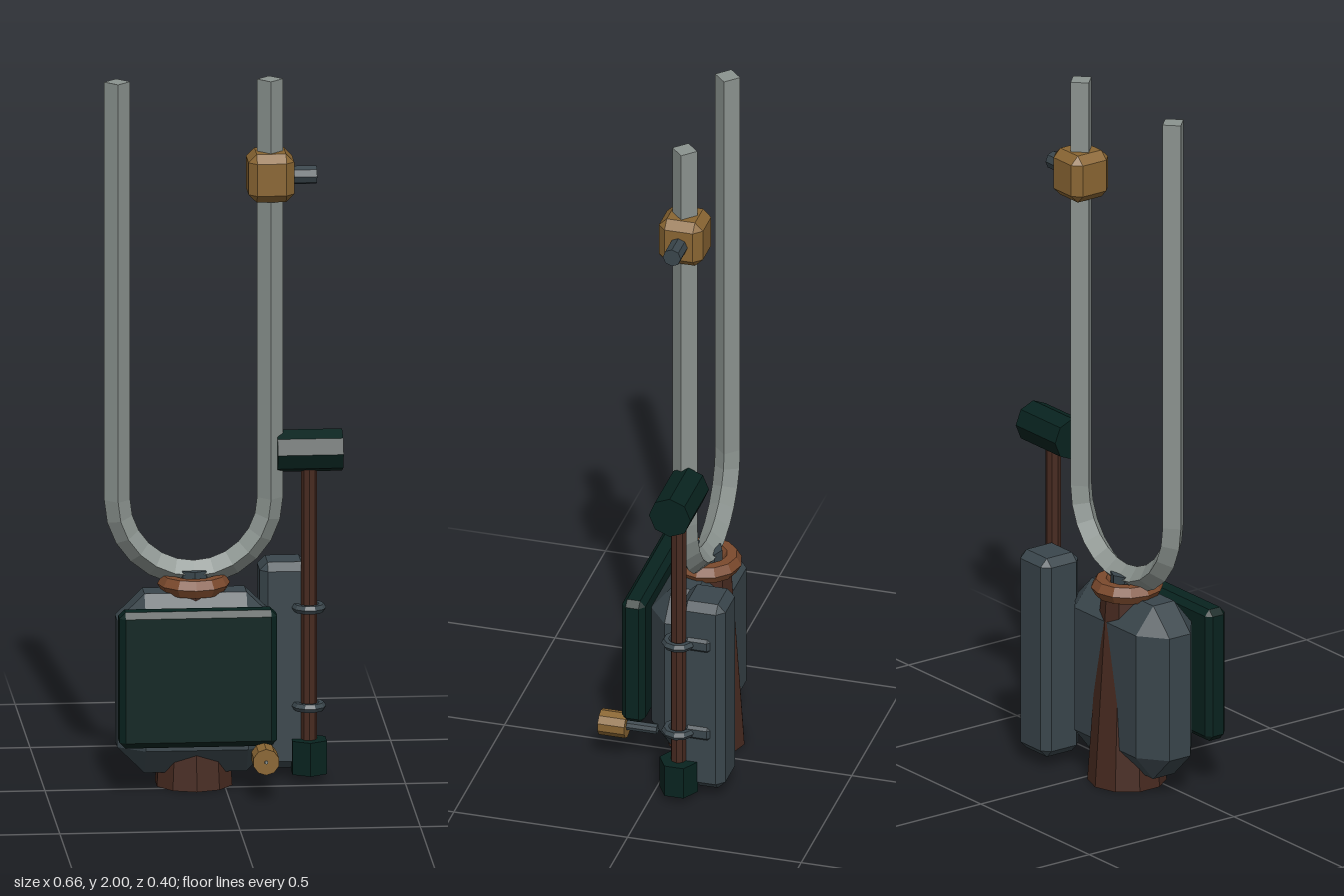
import * as THREE from 'three';
import { ConvexGeometry } from 'three/addons/geometries/ConvexGeometry.js';

const colours = {
  steel: 0x8b938f, slate: 0x3a464c, darkGreen: 0x08231f,
  darkWood: 0x472a20, copper: 0x7c4a2d, brass: 0x8a6633,
};
const mats = {};
for (const [name, color] of Object.entries(colours)) {
  mats[name] = new THREE.MeshStandardMaterial({ color });
  mats[name].name = name;
}

// Faceted look: split the corners so each face has its own normal
function flat(geometry) {
  const g = geometry.index ? geometry.toNonIndexed() : geometry;
  g.computeVertexNormals();
  return g;
}

function part(name, geometry, mat, x, y, z) {
  const mesh = new THREE.Mesh(flat(geometry), mats[mat]);
  mesh.name = name;
  mesh.position.set(x, y, z);
  return mesh;
}

// Box given by its limits, with every edge bevelled by (cx, cy, cz)
function bevelBox(name, mat, [x0, x1], [y0, y1], [z0, z1], [cx, cy, cz]) {
  const h = [(x1 - x0) / 2, (y1 - y0) / 2, (z1 - z0) / 2];
  const c = [cx, cy, cz];
  const points = [];
  for (const sx of [-1, 1]) for (const sy of [-1, 1]) for (const sz of [-1, 1]) {
    const s = [sx, sy, sz];
    for (let full = 0; full < 3; full++) {
      points.push(new THREE.Vector3(...s.map((v, i) => v * (i === full ? h[i] : h[i] - c[i]))));
    }
  }
  return part(name, new ConvexGeometry(points), mat, (x0 + x1) / 2, (y0 + y1) / 2, (z0 + z1) / 2);
}

// Cylinder along the chosen axis, centred on (x, y, z)
function rod(name, mat, rTop, rBottom, length, sides, axis, x, y, z) {
  const g = new THREE.CylinderGeometry(rTop, rBottom, length, sides);
  if (axis === 'x') g.rotateZ(-Math.PI / 2);
  if (axis === 'z') g.rotateX(Math.PI / 2);
  return part(name, g, mat, x, y, z);
}

// U-shaped bar with a diamond cross-section
function forkGeometry(radius, bendY, topY, r, steps) {
  const stations = [{ x: -radius, y: topY, a: Math.PI }];
  for (let i = 0; i <= steps; i++) {
    const a = Math.PI * (1 + i / steps);
    stations.push({ x: Math.cos(a) * radius, y: bendY + Math.sin(a) * radius, a });
  }
  stations.push({ x: radius, y: topY, a: 2 * Math.PI });

  const pos = [], index = [];
  for (const { x, y, a } of stations) {
    const nx = Math.cos(a) * r, ny = Math.sin(a) * r;
    pos.push(x + nx, y + ny, 0, x, y, -r, x - nx, y - ny, 0, x, y, r);
  }
  for (let s = 0; s < stations.length - 1; s++) {
    for (let i = 0; i < 4; i++) {
      const a = s * 4 + i, b = s * 4 + (i + 1) % 4;
      index.push(a, b, b + 4, a, b + 4, a + 4);
    }
  }
  const e = (stations.length - 1) * 4;
  index.push(0, 2, 1, 0, 3, 2, e, e + 1, e + 2, e, e + 2, e + 3);
  const g = new THREE.BufferGeometry();
  g.setAttribute('position', new THREE.Float32BufferAttribute(pos, 3));
  g.setIndex(index);
  return g;
}

export function createModel() {
  const model = new THREE.Group();
  model.name = 'tuningForkDevice';
  const cx = -0.083, cz = -0.057;

  // Fork, its stem and collar, and the tapered handle
  const collar = new THREE.TorusGeometry(0.073, 0.028, 6, 12).rotateX(Math.PI / 2);
  model.add(
    part('fork', forkGeometry(0.212, 0.81, 2, 0.036, 12), 'steel', cx, 0, cz),
    rod('forkStem', 'slate', 0.046, 0.046, 0.11, 8, 'y', cx, 0.555, cz),
    part('collar', collar, 'copper', cx, 0.57, cz),
    rod('handle', 'darkWood', 0.072, 0.11, 0.55, 10, 'y', cx, 0.275, cz),
  );

  // Sliding weight with its thumbscrew
  model.add(
    bevelBox('slidingWeight', 'brass', [0.066, 0.193], [1.658, 1.795], [-0.121, 0.006], [0.023, 0.023, 0.023]),
    rod('thumbscrew', 'slate', 0.026, 0.026, 0.08, 8, 'x', 0.218, 1.725, cz),
  );

  // Housing, front panel and side case
  model.add(
    bevelBox('housing', 'slate', [-0.3, 0.135], [0.045, 0.555], [-0.132, 0.06], [0.076, 0.075, 0.06]),
    bevelBox('frontPanel', 'darkGreen', [-0.303, 0.135], [0.143, 0.53], [0.06, 0.127], [0.017, 0.017, 0.015]),
    bevelBox('sideCase', 'slate', [0.103, 0.24], [0.03, 0.615], [-0.2, -0.07], [0.022, 0.022, 0.022]),
  );

  // Tuning knob on the front
  model.add(
    rod('knobShaft', 'slate', 0.015, 0.015, 0.1, 8, 'z', 0.099, 0.118, 0.08),
    rod('knob', 'brass', 0.037, 0.037, 0.077, 10, 'z', 0.098, 0.116, 0.155),
    rod('knobPin', 'steel', 0.005, 0.005, 0.01, 6, 'z', 0.098, 0.116, 0.193),
  );

  // Mallet standing in a cup and held by two clips
  const mx = 0.238, mz = -0.071;
  const mallet = new THREE.Group();
  mallet.name = 'mallet';
  mallet.add(
    rod('malletShaft', 'darkWood', 0.022, 0.022, 0.82, 8, 'y', mx, 0.49, mz),
    rod('malletHead', 'darkGreen', 0.06, 0.06, 0.182, 8, 'x', 0.239, 0.937, mz - 0.001),
    rod('malletCup', 'darkGreen', 0.055, 0.055, 0.095, 6, 'y', mx, 0.068, mz),
  );
  model.add(mallet);
  for (const y of [0.21, 0.49]) {
    const ring = new THREE.TorusGeometry(0.035, 0.013, 6, 10).rotateX(Math.PI / 2);
    model.add(
      part('clipRing', ring, 'slate', mx, y, mz),
      bevelBox('clipMount', 'slate', [0.2, 0.248], [y - 0.02, y + 0.02], [-0.162, -0.09], [0.008, 0.008, 0.008]),
    );
  }
  return model;
}
